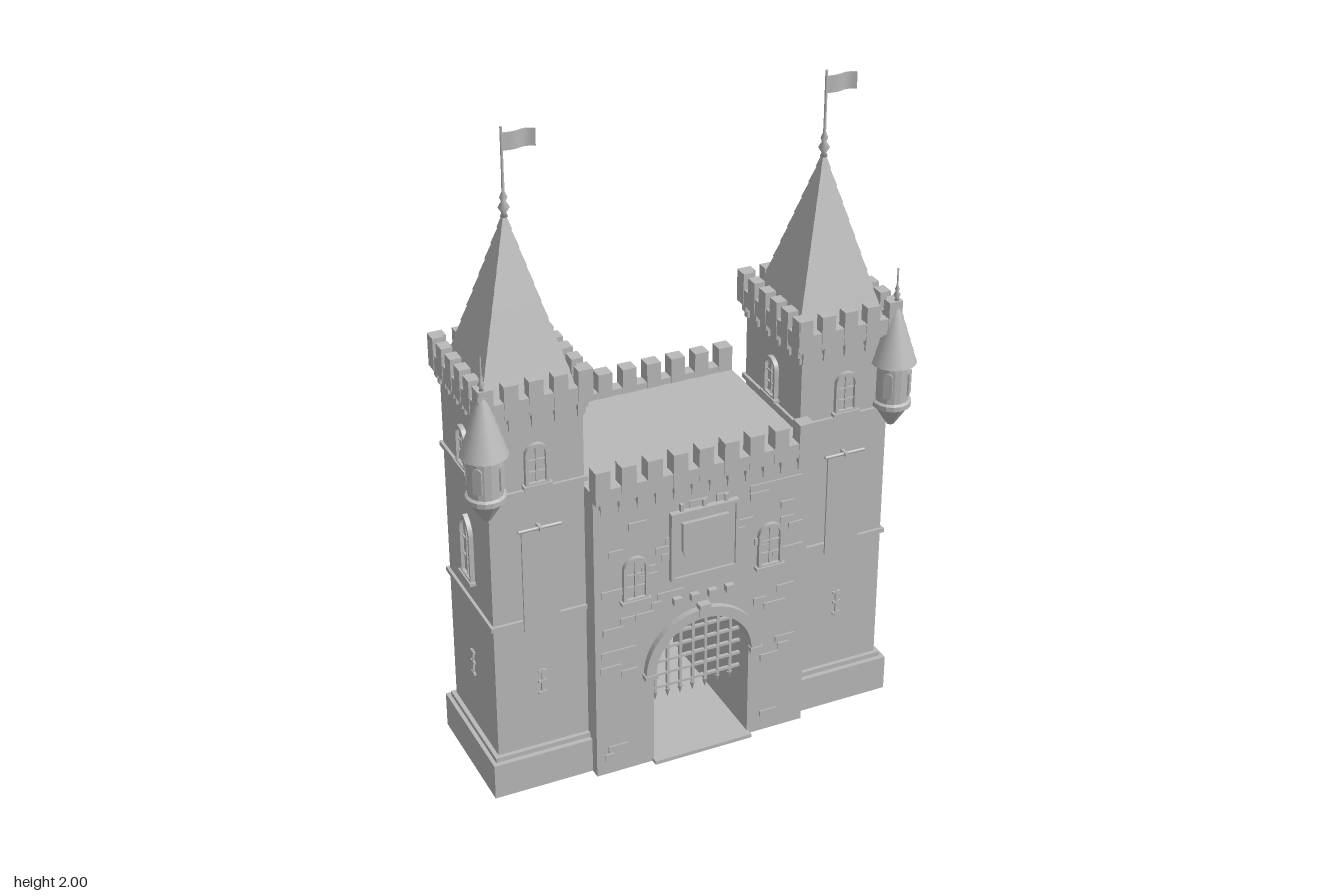
import * as THREE from 'three';

const stone = new THREE.MeshStandardMaterial({ color: 0xb8b8b8 });
stone.name = 'grey stone';

function add(parent, name, geo, x = 0, y = 0, z = 0) {
  const m = new THREE.Mesh(geo, stone);
  m.name = name;
  m.position.set(x, y, z);
  parent.add(m);
  return m;
}
// box given by its bottom height
const box = (p, name, w, h, d, x, y, z) => add(p, name, new THREE.BoxGeometry(w, h, d), x, y + h / 2, z);

function group(parent, name, x = 0, y = 0, z = 0, ry = 0) {
  const g = new THREE.Group();
  g.name = name;
  g.position.set(x, y, z);
  g.rotation.y = ry;
  parent.add(g);
  return g;
}

// local group on one wall of a block: +z points out of that wall
const SIDES = [0, Math.PI / 2, Math.PI, -Math.PI / 2];
function wall(parent, i, hx, hz) {
  const a = SIDES[i];
  return group(parent, 'wallSide', Math.sin(a) * hx, 0, Math.cos(a) * hz, a);
}

function seeded(s) {
  return () => (s = (s * 16807) % 2147483647) / 2147483647;
}

function extrude(shape, depth) {
  return new THREE.ExtrudeGeometry(shape, { depth, bevelEnabled: false, curveSegments: 14 });
}

// arch-topped outline standing on y = 0, round or pointed
function archPath(P, w, h, pointed, inset = 0) {
  const p = new P(), a = w / 2 - inset, spring = h - w / 2 * (pointed ? 1.5 : 1), top = h - inset;
  p.moveTo(-a, inset);
  p.lineTo(a, inset);
  p.lineTo(a, spring);
  if (pointed) {
    p.quadraticCurveTo(a, spring + (top - spring) * 0.6, 0, top);
    p.quadraticCurveTo(-a, spring + (top - spring) * 0.6, -a, spring);
  } else p.absarc(0, spring, a, 0, Math.PI, false);
  p.lineTo(-a, inset);
  return p;
}

function windowAt(parent, x, y, w, h, pointed) {
  const g = group(parent, 'window', x, y, 0);
  const frame = archPath(THREE.Shape, w, h, pointed);
  frame.holes.push(archPath(THREE.Path, w, h, pointed, 0.009));
  add(g, 'windowFrame', extrude(frame, 0.014));
  add(g, 'windowPane', extrude(archPath(THREE.Shape, w, h, pointed, 0.007), 0.003));
  box(g, 'windowMullion', 0.005, h - 0.015, 0.008, 0, 0.008, 0.004);
  for (const t of [0.3, 0.58]) box(g, 'windowBar', w - 0.014, 0.004, 0.008, 0, h * t, 0.004);
  box(g, 'windowSill', w + 0.015, 0.01, 0.022, 0, -0.006, 0.008);
}

function arrowSlit(parent, x, y) {
  const g = group(parent, 'arrowSlit', x, y, 0);
  box(g, 'slit', 0.008, 0.09, 0.008, 0, -0.045, 0.002);
  for (const dy of [-0.04, 0, 0.034]) box(g, 'slitBar', 0.026, 0.008, 0.01, 0, dy, 0.002);
}

// parapet, merlons and corbels along one wall; z = 0 is the parapet's outer face
function battlement(parent, len, y, wallH, merlonH, n, mw, thick, corbels) {
  box(parent, 'parapet', len, wallH, thick, 0, y, -thick / 2);
  for (let i = 0; i < n; i++) {
    const x = -len / 2 + mw / 2 + (len - mw) * i / (n - 1);
    box(parent, 'merlon', mw, wallH + merlonH, thick + 0.004, x, y, -thick / 2);
  }
  for (let i = 0; i < corbels; i++) {
    const x = (len - 0.06) * (i / (corbels - 1) - 0.5);
    box(parent, 'corbel', 0.024, 0.025, 0.03, x, y - 0.025, -0.021);
    box(parent, 'corbelFoot', 0.018, 0.022, 0.024, x, y - 0.047, -0.026);
  }
}

function finial(parent, y, r, height) {
  const pts = [[0, 0], [r, 0], [r * 0.6, r], [r * 1.5, r * 2.4], [r * 0.6, r * 4], [r, r * 5], [0.4 * r, r * 6.5], [0.35 * r, height], [0, height]];
  add(parent, 'finial', new THREE.LatheGeometry(pts.map(p => new THREE.Vector2(...p)), 10), 0, y, 0);
}

function turret(parent, x, z) {
  const t = group(parent, 'turret', x, 0, z);
  const body = [[0, 0.94], [0.012, 0.945], [0.05, 1.005], [0.058, 1.01], [0.058, 1.025], [0.05, 1.03], [0.05, 1.16], [0, 1.16]];
  const g = new THREE.LatheGeometry(body.map(p => new THREE.Vector2(...p)), 16).toNonIndexed();
  g.computeVertexNormals();
  add(t, 'turretBody', g);
  const n = 6, y0 = 1.15, h = 0.21;
  for (let i = 0; i < n; i++) {
    const r = k => 0.066 * (1 - k / n);
    add(t, 'turretRoofCourse', new THREE.CylinderGeometry(r(i + 1), r(i) + 0.002, h / n, 18), 0, y0 + h * (i + 0.5) / n, 0);
  }
  finial(t, 1.345, 0.007, 0.1);
  for (let i = 0; i < 4; i++) {
    const a = i * Math.PI / 2 + Math.PI / 4;
    const w = group(t, 'turretWindow', Math.sin(a) * 0.047, 1.05, Math.cos(a) * 0.047, a);
    add(w, 'turretWindowFrame', extrude(archPath(THREE.Shape, 0.026, 0.08, false), 0.006));
  }
}

function tower(root, s) {
  const t = group(root, s > 0 ? 'leftTower' : 'rightTower', s * 0.482, 0, 0.028);
  const hx = 0.143, hz = 0.172;
  box(t, 'plinth', 0.336, 0.115, 0.4, 0, 0, 0);
  box(t, 'plinthLedge', 0.312, 0.015, 0.37, 0, 0.115, 0);
  box(t, 'towerBody', hx * 2, 1.27, hz * 2, 0, 0, 0);
  for (const y of [0.565, 0.99]) box(t, 'stringCourse', hx * 2 + 0.018, 0.014, hz * 2 + 0.018, 0, y, 0);
  box(t, 'battlementLedge', hx * 2 + 0.02, 0.012, hz * 2 + 0.02, 0, 1.235, 0);
  for (let i = 0; i < 4; i++) {
    const w = wall(t, i, hx, hz), side = i % 2 === 1;
    const inner = side && (i === 1) === (s < 0);
    windowAt(w, 0, 1.015, 0.07, 0.13, false);
    if (!inner) {
      if (i > 0) windowAt(w, 0, 0.65, 0.08, 0.21, true);
      arrowSlit(w, 0, 0.35);
    }
    battlement(wall(t, i, 0.165, 0.193), side ? 0.386 : 0.33, 1.245, 0.05, 0.05, side ? 6 : 5, 0.042, 0.03, side ? 6 : 5);
  }
  // stepped pyramid roof
  const n = 10, y0 = 1.265, h = 0.495, r = k => 0.14 * (1 - k / n) * Math.SQRT2;
  for (let i = 0; i < n; i++) {
    const g = new THREE.CylinderGeometry(Math.max(r(i + 1), 0.002), r(i) + 0.003, h / n, 4).rotateY(Math.PI / 4).toNonIndexed();
    g.computeVertexNormals();
    add(t, 'roofCourse', g, 0, y0 + h * (i + 0.5) / n, 0);
  }
  finial(t, 1.745, 0.011, 0.12);
  add(t, 'flagPole', new THREE.CylinderGeometry(0.004, 0.004, 0.24, 8), 0, 1.88, 0);
  const flag = new THREE.BoxGeometry(0.092, 0.05, 0.004, 10, 1, 1), p = flag.attributes.position;
  for (let i = 0; i < p.count; i++) {
    const u = p.getX(i) + 0.046;
    p.setZ(i, p.getZ(i) + Math.sin(u * 75) * 0.008 * u / 0.092);
  }
  flag.computeVertexNormals();
  add(t, 'flag', flag, 0.048, 1.957, 0);
  // hanging banner on the front
  const b = group(t, 'banner', 0, 0, hz);
  box(b, 'bannerCloth', 0.11, 0.335, 0.006, 0, 0.545, 0.014);
  add(b, 'bannerRod', new THREE.CylinderGeometry(0.005, 0.005, 0.13, 8).rotateZ(Math.PI / 2), 0, 0.88, 0.016);
  box(b, 'bannerBracket', 0.01, 0.012, 0.03, 0, 0.875, 0.015);
  turret(t, s * 0.152, 0.183);
}

function gatehouse(root) {
  const g = group(root, 'gatehouse'), H = 0.26, r = 0.155, spring = 0.325;
  const s = new THREE.Shape();
  s.moveTo(-0.34, 0);
  s.lineTo(-r, 0);
  s.lineTo(-r, spring);
  s.absarc(0, spring, r, Math.PI, 0, true);
  s.lineTo(r, 0);
  s.lineTo(0.34, 0);
  s.lineTo(0.34, 0.97);
  s.lineTo(-0.34, 0.97);
  add(g, 'gatehouseWalls', extrude(s, H * 2), 0, 0, -H);
  box(g, 'gateFloor', 0.32, 0.012, 0.565, 0, 0, 0);

  for (const i of [0, 2]) {
    const w = wall(g, i, 0.34, H), rnd = seeded(11 + i * 7);
    battlement(group(w, 'gateBattlement', 0, 0, 0.02), 0.68, 0.945, 0.045, 0.06, 9, 0.045, 0.04, 12);
    for (const x of [-0.215, 0.215]) windowAt(w, x, 0.595, 0.078, 0.145, false);
    // arch trim with keystone and end blocks
    const ring = new THREE.Shape();
    ring.absarc(0, spring, 0.187, 0, Math.PI, false);
    ring.absarc(0, spring, r, Math.PI, 0, true);
    add(w, 'archTrim', extrude(ring, 0.02));
    box(w, 'keystone', 0.036, 0.04, 0.026, 0, 0.487, 0.012);
    for (const x of [-0.172, 0.172]) box(w, 'archFoot', 0.04, 0.015, 0.024, x, 0.312, 0.012);
    for (let k = 0; k < 4; k++) box(w, 'archCorbel', 0.026, 0.022, 0.02, -0.084 + k * 0.056, 0.545, 0.008);
    // scattered raised bricks, kept clear of the arch
    for (let k = 0; k < 85; k++) {
      const x = (rnd() - 0.5) * 0.6, y = 0.05 + Math.floor(rnd() * 32) * 0.026, bw = 0.03 + rnd() * 0.04;
      const clear = y < spring ? Math.abs(x) > 0.2 : Math.hypot(x, y - spring) > 0.23;
      if (clear && Math.abs(x) + bw / 2 < 0.335) box(w, 'brick', bw, 0.022, 0.008, x, y, 0.001);
    }
  }

  // heraldic panel with blank shield
  const p = group(g, 'shieldPanel', 0, 0, H);
  box(p, 'panel', 0.205, 0.22, 0.012, 0, 0.635, 0.006);
  for (const y of [0.63, 0.845]) box(p, 'panelRail', 0.214, 0.01, 0.02, 0, y, 0.009);
  for (const x of [-0.102, 0.102]) box(p, 'panelStile', 0.01, 0.22, 0.02, x, 0.633, 0.009);
  for (const x of [-0.07, 0, 0.07]) box(p, 'panelHook', 0.01, 0.022, 0.012, x, 0.855, 0.006);
  const sh = new THREE.Shape();
  sh.moveTo(-0.073, 0.82);
  sh.lineTo(-0.073, 0.73);
  sh.quadraticCurveTo(-0.06, 0.685, 0, 0.65);
  sh.quadraticCurveTo(0.06, 0.685, 0.073, 0.73);
  sh.lineTo(0.073, 0.82);
  add(p, 'shield', extrude(sh, 0.012), 0, 0, 0.012);

  // portcullis following the arch
  const c = group(g, 'portcullis', 0, 0, 0.2);
  for (let i = -3; i <= 3; i++) {
    const x = i * 0.041, top = spring + Math.sqrt(r * r - x * x);
    box(c, 'upright', 0.009, top - 0.2, 0.009, x, 0.2, 0);
    add(c, 'spike', new THREE.ConeGeometry(0.009, 0.03, 4).rotateX(Math.PI), x, 0.188, 0);
  }
  for (let y = 0.215; y < 0.47; y += 0.045) {
    const half = y < spring ? r : Math.sqrt(r * r - (y - spring) ** 2);
    box(c, 'crossbar', half * 2, 0.008, 0.01, 0, y, 0);
  }

  // loose bricks across the rear opening: x, y, width
  for (const [x, y, w] of [[-0.03, 0.32, 0.1], [0.1, 0.32, 0.09], [-0.035, 0.415, 0.07], [0.05, 0.4, 0.05], [-0.07, 0.255, 0.06],
    [0.075, 0.23, 0.09], [-0.1, 0.125, 0.09], [0.025, 0.16, 0.06], [0.05, 0.125, 0.055], [0.13, 0.06, 0.03]])
    box(g, 'looseBrick', w, 0.026, 0.012, x, y, -H);
}

export function createModel() {
  const root = new THREE.Group();
  root.name = 'castleGate';
  gatehouse(root);
  for (const s of [-1, 1]) tower(root, s);
  return root;
}
